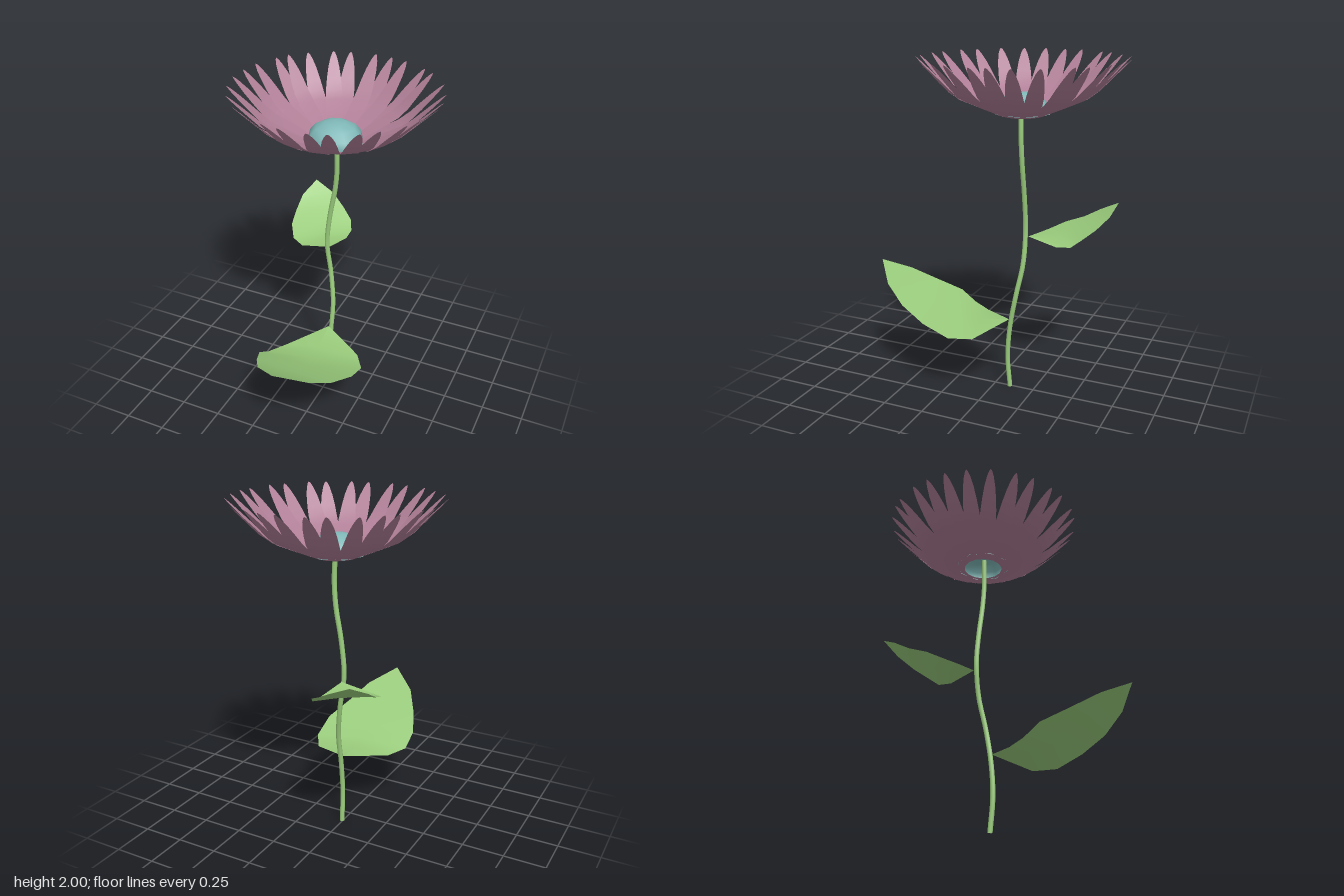
import * as THREE from 'three';

const mat = (color) => new THREE.MeshStandardMaterial({ color, side: THREE.DoubleSide });

// Thin surface skinned over rows of points (each row runs from -x to +x).
function skin(rows) {
  const n = rows[0].length, index = [];
  for (let i = 0; i < rows.length - 1; i++) {
    for (let j = 0; j < n - 1; j++) {
      const a = i * n + j, b = a + n;
      index.push(a, b, a + 1, a + 1, b, b + 1);
    }
  }
  const geo = new THREE.BufferGeometry();
  geo.setAttribute('position', new THREE.Float32BufferAttribute(rows.flat(2), 3));
  geo.setIndex(index);
  geo.computeVertexNormals();
  return geo;
}

export function createModel() {
  const flower = new THREE.Group();
  flower.name = 'flower';
  const green = mat(0x9acc7c), pink = mat(0xb07f97), teal = mat(0x80b8b8);

  const add = (name, geo, material, parent = flower) => {
    const mesh = new THREE.Mesh(geo, material);
    mesh.name = name;
    parent.add(mesh);
    return mesh;
  };

  // Stem: gently winding tube
  const path = new THREE.CatmullRomCurve3([
    [0.005, 0, -0.1], [0.008, 0.2, -0.085], [0.01, 0.4, -0.1], [0.008, 0.6, -0.135],
    [-0.022, 0.8, -0.168], [-0.05, 1.0, -0.17], [-0.032, 1.2, -0.168],
    [0.003, 1.4, -0.166], [0.014, 1.55, -0.162], [0.004, 1.74, -0.158],
  ].map((p) => new THREE.Vector3(...p)));
  add('stem', new THREE.TubeGeometry(path, 36, 0.015, 8), green);

  // Leaf: base at the origin, blade curving up along +z; rows are left edge, midrib, right edge
  const leafGeo = skin([
    [[0, 0, 0], [0, 0, 0], [0, 0, 0]],
    [[-0.19, -0.05, 0.22], [0.01, -0.025, 0.18], [0.25, -0.05, 0.13]],
    [[-0.255, -0.038, 0.34], [0.03, -0.015, 0.31], [0.325, -0.035, 0.25]],
    [[-0.26, 0.03, 0.44], [0.035, 0.03, 0.43], [0.33, 0.03, 0.41]],
    [[-0.2, 0.1, 0.58], [0.04, 0.1, 0.58], [0.27, 0.095, 0.58]],
    [[-0.11, 0.19, 0.725], [0.045, 0.185, 0.72], [0.195, 0.185, 0.72]],
    [[0.045, 0.28, 0.845], [0.045, 0.28, 0.845], [0.045, 0.28, 0.845]],
  ]);
  add('lowerLeaf', leafGeo, green).position.set(0, 0.44, -0.09);
  const upperLeaf = add('upperLeaf', leafGeo, green);
  upperLeaf.position.set(-0.045, 0.965, -0.19);
  upperLeaf.rotation.y = THREE.MathUtils.degToRad(210);
  upperLeaf.scale.setScalar(0.64);

  const head = new THREE.Group();
  head.name = 'flowerHead';
  head.position.set(0, 1.68, -0.163);
  flower.add(head);

  // Petals: [radius, height, half width] along each blade
  const petalGeo = skin([
    [0.115, 0, 0.03], [0.24, 0.052, 0.045], [0.36, 0.104, 0.05], [0.42, 0.148, 0.047],
    [0.47, 0.198, 0.041], [0.52, 0.248, 0.032], [0.56, 0.288, 0.02], [0.582, 0.31, 0.009],
    [0.592, 0.318, 0],
  ].map(([r, y, w]) => [[-w, y, r], [0, y, r], [w, y, r]]));
  // Two overlapping, unevenly spaced whorls (degrees from +x towards +z)
  const angles = [-16, -4, 5, 20, 30, 45, 55, 70, 80, 95, 105, 119, 130, 145, 159, 172,
    184, 195, 210, 218, 230, 245, 255, 270, 280, 290, 305, 313, 330];
  const petals = new THREE.Group();
  petals.name = 'petals';
  head.add(petals);
  angles.forEach((deg, i) => {
    const petal = add('petal', petalGeo, pink, petals);
    petal.rotation.y = THREE.MathUtils.degToRad(90 - deg);
    petal.position.y = i % 2 ? 0.002 : 0;
  });

  // Centre: open low-poly dome
  const dome = add('flowerCentre',
    new THREE.SphereGeometry(0.164, 8, 4, 0, Math.PI * 2, 0, Math.PI / 2), teal, head);
  dome.scale.y = 0.72;
  dome.position.y = 0.015;

  return flower;
}
